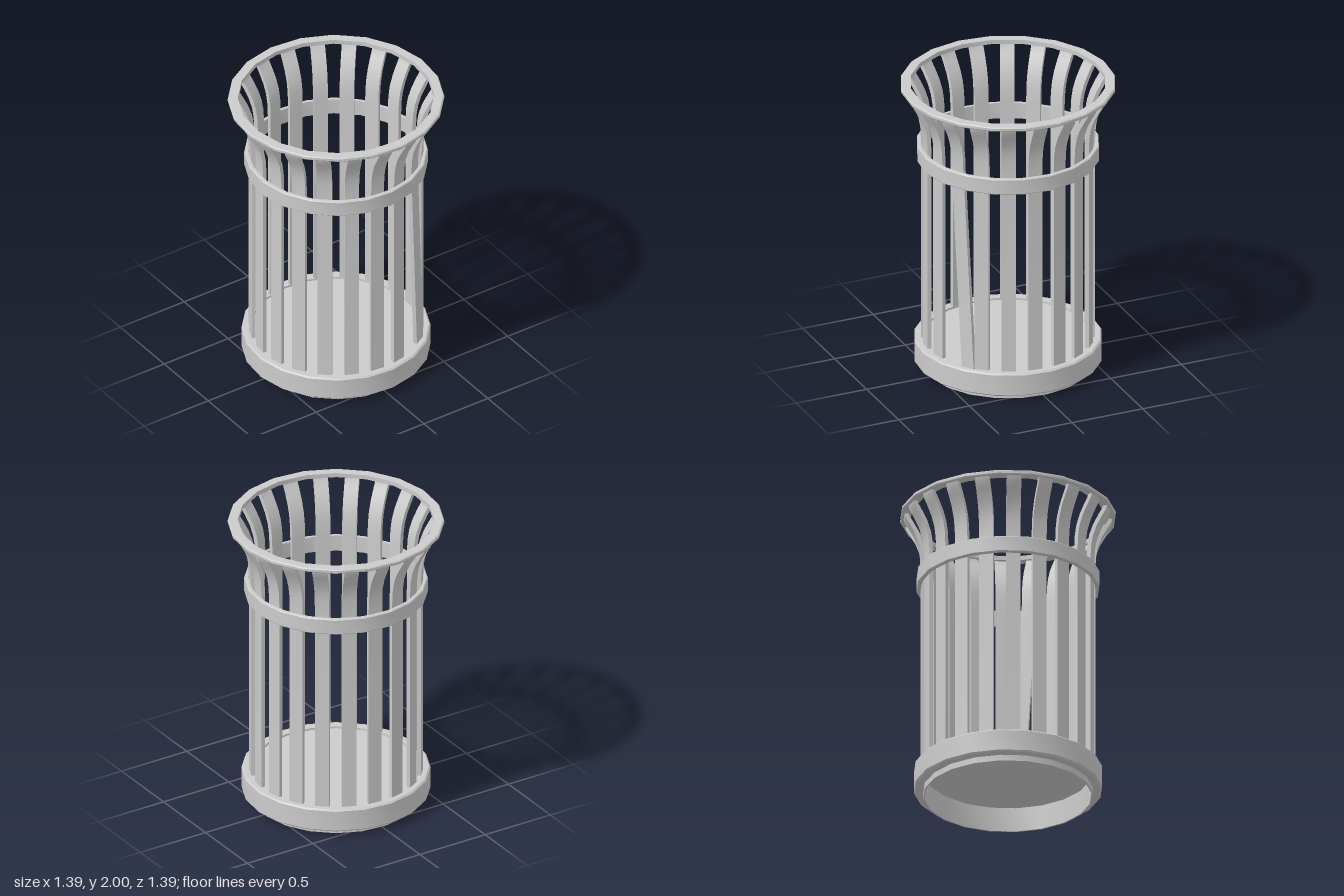
import * as THREE from 'three';
import { toCreasedNormals } from 'three/addons/utils/BufferGeometryUtils.js';

const SIDES = 20;
const STEP = (Math.PI * 2) / SIDES;
const PHASE = THREE.MathUtils.degToRad(3);
const material = new THREE.MeshStandardMaterial({ color: 0xcccccc });

function addMesh(parent, name, geometry) {
  const mesh = new THREE.Mesh(toCreasedNormals(geometry, 0.6), material);
  mesh.name = name;
  parent.add(mesh);
  return mesh;
}

// Faceted hoop from a closed counter-clockwise profile of [radius, height]
function hoop(profile) {
  const points = [...profile, profile[0]].map(([r, y]) => new THREE.Vector2(r, y));
  return new THREE.LatheGeometry(points, SIDES, PHASE);
}

// Hoop profile with chamfered outer edges
function band(inner, outer, y0, y1, c) {
  return [[inner, y0], [outer - c, y0], [outer, y0 + c], [outer, y1 - c], [outer - c, y1], [inner, y1]];
}

// Flat bar swept along a radial path; lean slides its foot sideways
function slatGeometry(path, lean) {
  const width = 0.094, thickness = 0.026, rows = path.length - 1;
  const geometry = new THREE.BoxGeometry(width, 1, thickness, 1, rows, 1);
  const pos = geometry.attributes.position;
  const bendStart = path[1][1], foot = path[0][1];
  for (let i = 0; i < pos.count; i++) {
    const row = Math.round((pos.getY(i) + 0.5) * rows);
    const [r, y] = path[row];
    const a = path[Math.max(row - 1, 0)], b = path[Math.min(row + 1, rows)];
    const dr = b[0] - a[0], dy = b[1] - a[1], len = Math.hypot(dr, dy);
    const t = pos.getZ(i);
    const slide = lean * Math.max(0, (bendStart - y) / (bendStart - foot));
    pos.setXYZ(i, pos.getX(i) + slide, y - (t * dr) / len, r + (t * dy) / len);
  }
  return geometry;
}

export function createModel() {
  const model = new THREE.Group();
  model.name = 'slattedLitterBin';

  // Base ring with a recessed foot, and the raised floor inside it
  addMesh(model, 'baseRing', hoop([
    [0.54, 0], [0.55, 0], [0.55, 0.04], [0.6, 0.04], [0.61, 0.05],
    [0.61, 0.188], [0.6, 0.198], [0.54, 0.198],
  ]));
  const floor = addMesh(model, 'floor',
    new THREE.CylinderGeometry(0.542, 0.542, 0.02, SIDES, 1, false, PHASE));
  floor.position.y = 0.175;

  // Middle band and top rim
  addMesh(model, 'middleBand', hoop(band(0.565, 0.592, 1.47, 1.58, 0.006)));
  addMesh(model, 'topRim', hoop(band(0.633, 0.698, 1.97, 2, 0.007)));

  // Slats flaring out to the rim, one of them bent out of line
  const path = [
    [0.548, 0.15], [0.548, 1.6], [0.553, 1.7], [0.565, 1.77],
    [0.59, 1.84], [0.625, 1.905], [0.652, 1.95], [0.66, 1.98],
  ];
  const slats = new THREE.Group();
  slats.name = 'slats';
  model.add(slats);
  for (let i = 0; i < SIDES; i++) {
    const bent = i === 1;
    const slat = addMesh(slats, bent ? 'bentSlat' : 'slat', slatGeometry(path, bent ? 0.085 : 0));
    slat.rotation.y = PHASE + (i + 0.5) * STEP;
  }
  return model;
}
